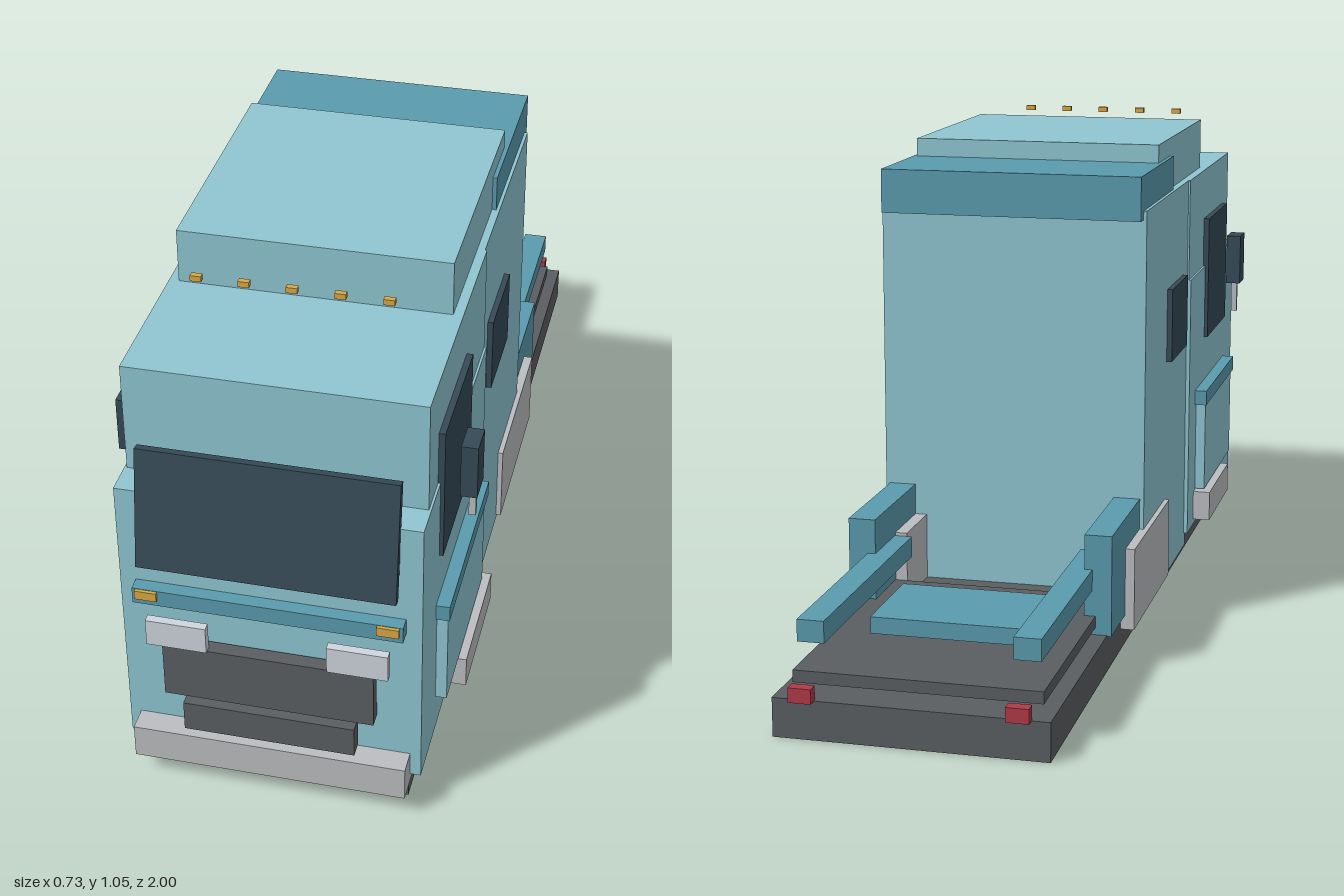
import * as THREE from 'three';

const material = (color) => new THREE.MeshStandardMaterial({ color });

export function createModel() {
  const truck = new THREE.Group();
  truck.name = 'truck';
  const body = material(0x8fc6d2), trim = material(0x5a9bae), glass = material(0x364a57);
  const dark = material(0x5a5e61), metal = material(0xbbbdc0), lamp = material(0xcfd6df);
  const amber = material(0xd9a845), red = material(0xb03a48);

  // Box given by its extents along x, y and z
  function box(name, mat, [x0, x1], [y0, y1], [z0, z1]) {
    const mesh = new THREE.Mesh(new THREE.BoxGeometry(x1 - x0, y1 - y0, z1 - z0), mat);
    mesh.position.set((x0 + x1) / 2, (y0 + y1) / 2, (z0 + z1) / 2);
    mesh.name = name;
    truck.add(mesh);
    return mesh;
  }
  // Box centred on x = 0
  const mid = (name, mat, half, y, z) => box(name, mat, [-half, half], y, z);
  // Mirrored pair of boxes
  function pair(name, mat, [x0, x1], y, z) {
    box(name + 'Left', mat, [x0, x1], y, z);
    box(name + 'Right', mat, [-x1, -x0], y, z);
  }

  // Chassis and rear deck
  mid('chassis', dark, 0.275, [0, 0.08], [-0.985, 0.94]);
  mid('deckPlate', dark, 0.25, [0.095, 0.12], [-0.935, -0.345]);
  mid('couplingPlate', trim, 0.162, [0.128, 0.163], [-0.718, -0.495]);
  pair('deckRail', trim, [0.188, 0.243], [0.175, 0.22], [-0.925, -0.345]);
  pair('tailLight', red, [0.191, 0.237], [0.078, 0.108], [-1, -0.975]);

  // Cab, sleeper and roof
  mid('lowerCab', body, 0.302, [0.07, 0.69], [0.32, 0.95]);
  mid('upperCab', body, 0.297, [0.69, 0.926], [0.32, 0.882]);
  mid('sleeper', body, 0.293, [0.037, 0.926], [-0.19, 0.337]);
  mid('roofRaise', body, 0.277, [0.92, 1.042], [0.022, 0.57]);
  mid('roofFairing', trim, 0.286, [0.907, 1.002], [-0.22, 0.158]);
  for (let i = -2; i <= 2; i++) {
    const x = i * 0.0935;
    box('roofMarker', amber, [x - 0.011, x + 0.011], [1.039, 1.051], [0.725, 0.737]);
  }

  // Front face
  const windscreen = mid('windscreen', glass, 0.257, [0.529, 0.787], [0.946, 0.964]);
  windscreen.rotation.x = -0.15;
  mid('frontStrip', trim, 0.27, [0.437, 0.473], [0.945, 0.978]);
  pair('indicator', amber, [0.219, 0.263], [0.452, 0.472], [0.965, 0.985]);
  pair('headlight', lamp, [0.121, 0.243], [0.345, 0.405], [0.972, 0.99]);
  mid('grille', dark, 0.213, [0.219, 0.345], [0.955, 0.985]);
  mid('lowerGrille', dark, 0.175, [0.135, 0.203], [0.957, 0.99]);
  mid('bumper', metal, 0.28, [0.05, 0.125], [0.912, 1]);

  // Cab sides
  pair('sideWindow', glass, [0.29, 0.31], [0.514, 0.807], [0.522, 0.797]);
  pair('sleeperWindow', glass, [0.285, 0.305], [0.547, 0.713], [0.063, 0.261]);
  pair('mirror', glass, [0.33, 0.364], [0.623, 0.742], [0.677, 0.742]);
  pair('mirrorArm', metal, [0.341, 0.355], [0.55, 0.65], [0.691, 0.703]);
  pair('wheelPanel', body, [0.29, 0.325], [0.156, 0.372], [0.42, 0.81]);
  pair('wheelArch', trim, [0.29, 0.33], [0.37, 0.405], [0.402, 0.82]);
  pair('step', metal, [0.29, 0.342], [0.083, 0.153], [0.4, 0.685]);

  // Tanks and fairings behind the sleeper
  pair('fuelTank', metal, [0.2, 0.304], [0.047, 0.226], [-0.342, 0.06]);
  pair('sideFairing', trim, [0.226, 0.284], [0.078, 0.294], [-0.483, -0.16]);

  return truck;
}
